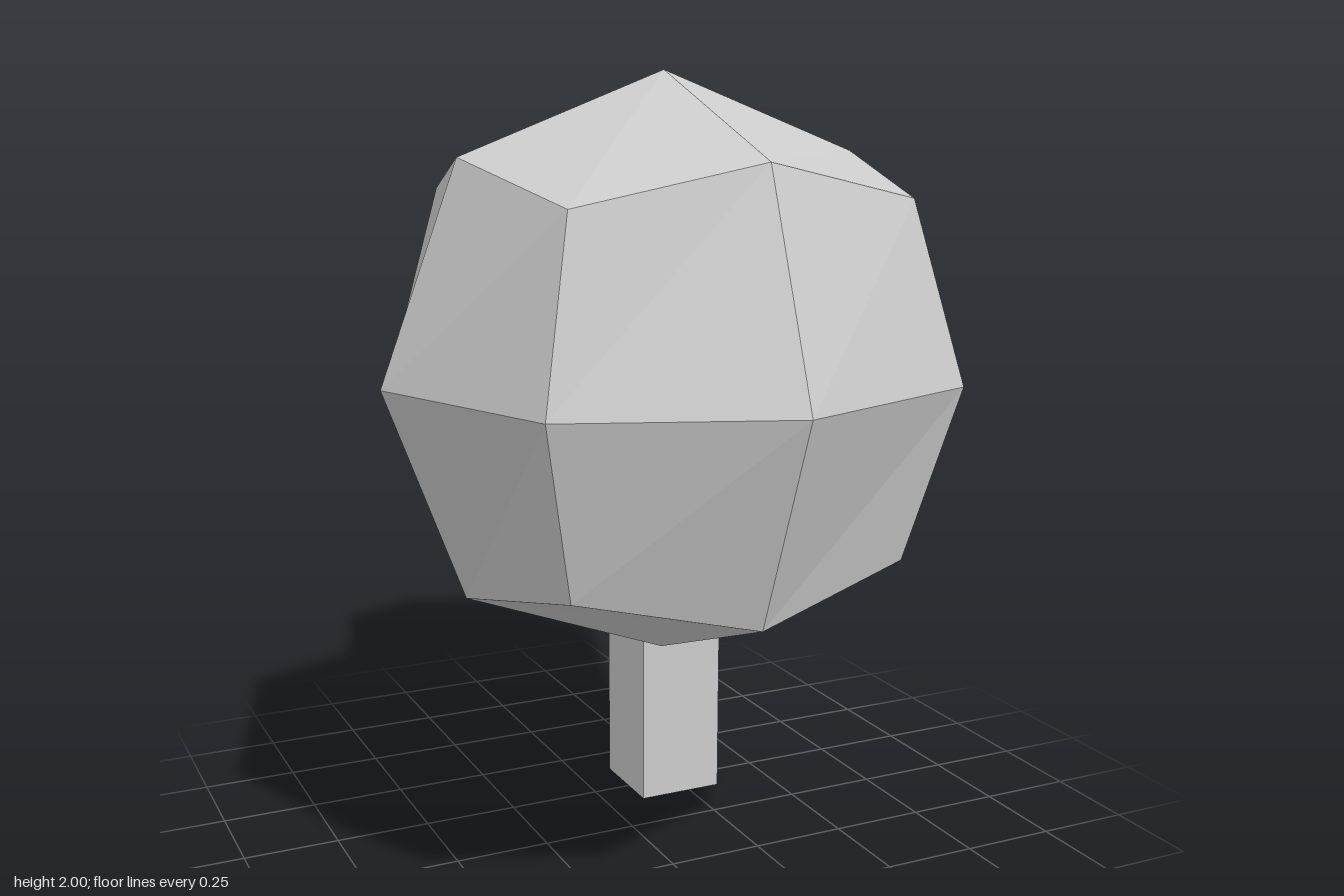
import * as THREE from 'three';

const material = new THREE.MeshStandardMaterial({ color: 0xcccccc, flatShading: true });

// Faceted ball: a 2x2x2 cube grid whose face centres, edge middles and corners
// are pulled to their own distances along each axis.
function foliageGeometry(radius) {
  const reach = [0, 1, 0.727, 0.598];
  const box = new THREE.BoxGeometry(2, 2, 2, 2, 2, 2);
  const pos = box.attributes.position;
  for (let i = 0; i < pos.count; i++) {
    const p = new THREE.Vector3().fromBufferAttribute(pos, i).round();
    const axes = Math.abs(p.x) + Math.abs(p.y) + Math.abs(p.z);
    p.multiplyScalar(radius * reach[axes]);
    pos.setXYZ(i, p.x, p.y, p.z);
  }
  const geometry = box.toNonIndexed();
  geometry.computeVertexNormals();
  return geometry;
}

function addPart(group, name, geometry, x, y, z) {
  const mesh = new THREE.Mesh(geometry, material);
  mesh.name = name;
  mesh.position.set(x, y, z);
  group.add(mesh);
}

export function createModel() {
  const tree = new THREE.Group();
  tree.name = 'tree';

  // Square trunk, its top buried in the foliage
  const trunkHeight = 1.2;
  addPart(tree, 'trunk', new THREE.BoxGeometry(0.235, trunkHeight, 0.235), 0.222, trunkHeight / 2, -0.268);

  // Two overlapping crowns
  addPart(tree, 'largeFoliage', foliageGeometry(0.697), -0.046, 1.303, 0.27);
  addPart(tree, 'smallFoliage', foliageGeometry(0.463), 0.277, 1.34, -0.505);

  return tree;
}
